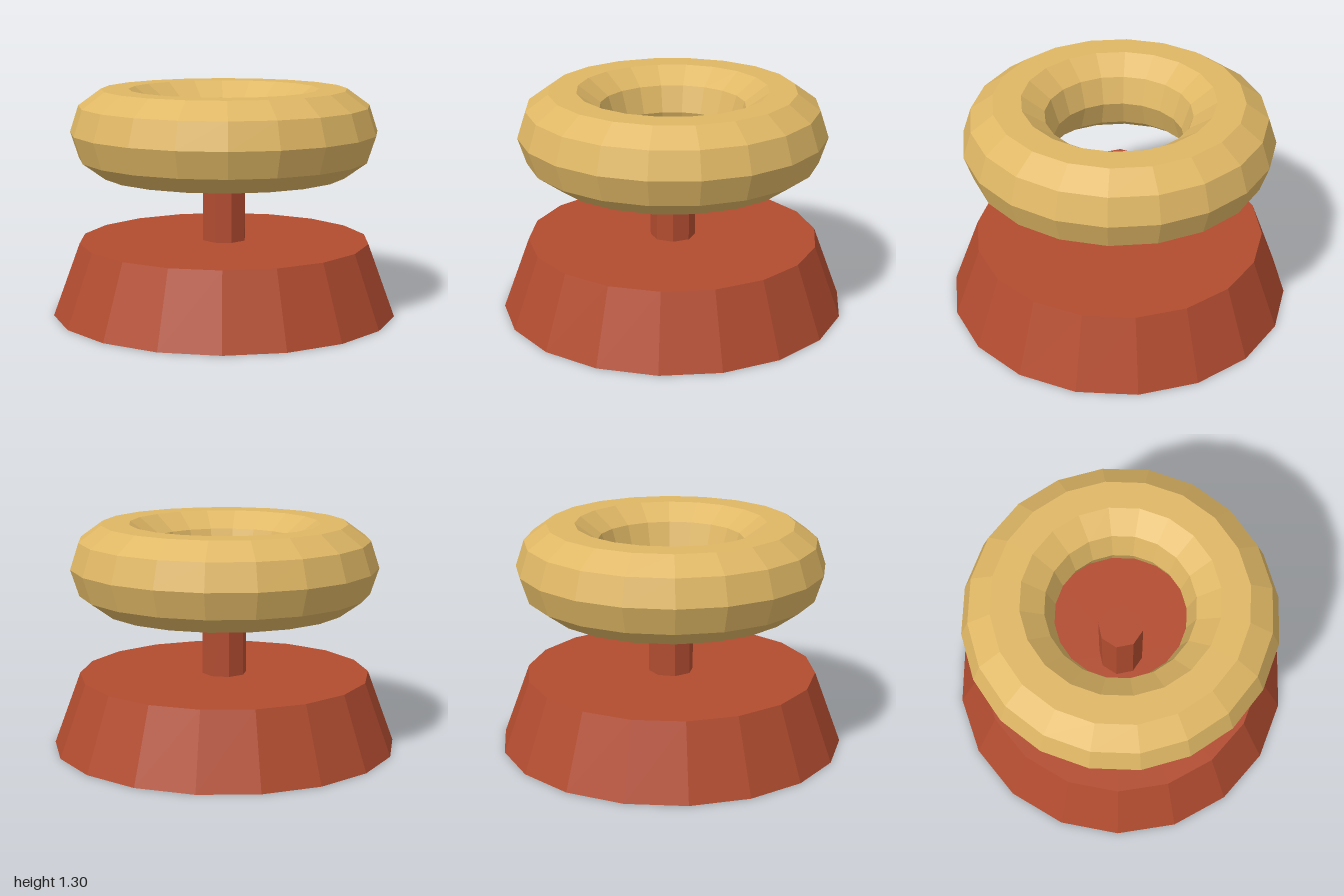
import * as THREE from 'three';

export function createModel() {
  const group = new THREE.Group();

  const red = new THREE.MeshStandardMaterial({ color: 0xb24c30, flatShading: true });
  red.name = 'brick red';
  const gold = new THREE.MeshStandardMaterial({ color: 0xdfb765, flatShading: true });
  gold.name = 'sand gold';

  const add = (name, geometry, material, y) => {
    const mesh = new THREE.Mesh(geometry, material);
    mesh.name = name;
    mesh.position.y = y;
    group.add(mesh);
  };

  // Tapered foot with 18 sides
  const baseHeight = 0.42;
  add('base', new THREE.CylinderGeometry(0.845, 1, baseHeight, 18), red, baseHeight / 2);

  // Octagonal post, ending inside the ring's hole
  const postTop = 0.89;
  add('post', new THREE.CylinderGeometry(0.13, 0.13, postTop - baseHeight, 8), red, (postTop + baseHeight) / 2);

  // Faceted ring lying flat above the base
  add('ring', new THREE.TorusGeometry(0.63, 0.26, 10, 20).rotateX(Math.PI / 2), gold, 1.055);

  return group;
}
